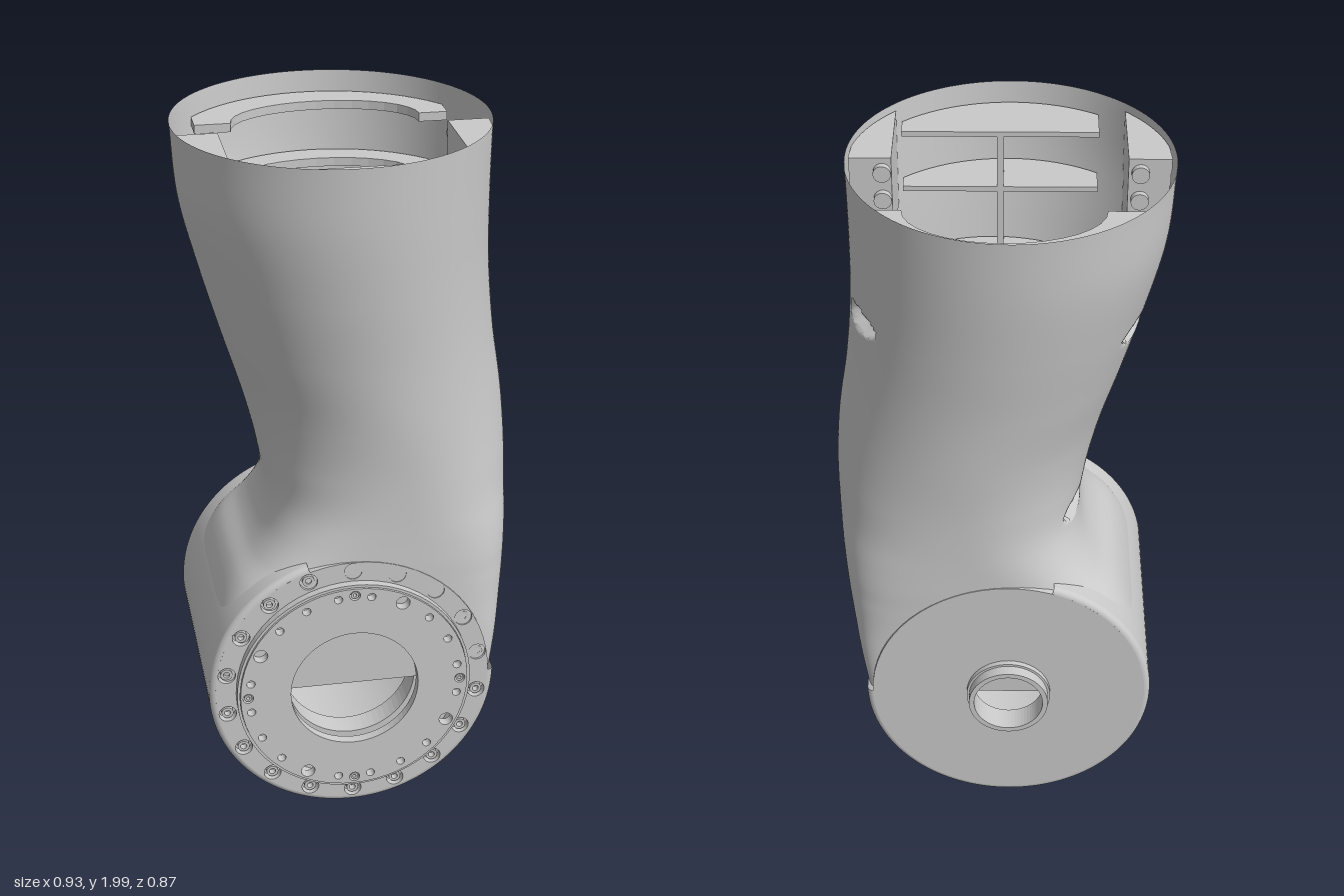
import * as THREE from 'three';

const CX = -0.03, CY = 0.42, R = 0.415; // axis and radius of the joint drum

export function createModel() {
  const model = new THREE.Group();
  const grey = new THREE.MeshStandardMaterial({ color: 0xcacaca, side: THREE.DoubleSide });
  grey.name = 'light grey';

  const add = (name, geo, parent = model) => {
    const mesh = new THREE.Mesh(geo, grey);
    mesh.name = name;
    parent.add(mesh);
  };

  // Section rules by height: y, left x, right x, half depth, squareness
  const rows = [
    [0.42, -0.43, 0.385, 0.348, 16], [0.6, -0.4, 0.42, 0.348, 7.5], [0.72, -0.345, 0.44, 0.348, 5],
    [0.78, -0.29, 0.448, 0.348, 4.2], [0.85, -0.25, 0.456, 0.347, 3.4], [0.93, -0.235, 0.462, 0.347, 2.7],
    [1.05, -0.25, 0.465, 0.35, 2.25], [1.2, -0.285, 0.455, 0.36, 2], [1.4, -0.345, 0.425, 0.376, 2],
    [1.6, -0.402, 0.407, 0.4, 2], [1.8, -0.45, 0.403, 0.422, 2], [2, -0.465, 0.405, 0.435, 2],
  ];
  const section = new THREE.CubicInterpolant(rows.map(r => r[0]), rows.flatMap(r => r.slice(1)), 4);

  // Lens-shaped screw pockets pressed into both sides: side, y, z
  const pockets = [[1, 1.6, -0.16], [1, 0.685, -0.14], [-1, 1.57, -0.13], [-1, 0.97, -0.14]];

  // Curved arm shell, open at the top
  const NU = 192, NV = 180, pos = [], index = [];
  for (let j = 0; j <= NV; j++) {
    const y = CY + (2 - CY) * j / NV;
    const [l, r, d, n] = section.evaluate(y);
    for (let i = 0; i < NU; i++) {
      const a = i / NU * Math.PI * 2, c = Math.cos(a), s = Math.sin(a);
      let x = (l + r) / 2 + (r - l) / 2 * Math.sign(c) * Math.abs(c) ** (2 / n);
      const z = d * Math.sign(s) * Math.abs(s) ** (2 / n);
      for (const [side, py, pz] of pockets) {
        const q = ((y - py) / 0.032) ** 2 + ((z - pz) / 0.08) ** 2;
        if (side * c > 0 && q < 1) x -= side * 0.04 * Math.sqrt(1 - q);
      }
      pos.push(x, y, z);
      if (j < NV) {
        const p = j * NU + i, q = j * NU + (i + 1) % NU;
        index.push(p, p + NU, q, q, p + NU, q + NU);
      }
    }
  }
  const shell = new THREE.BufferGeometry();
  shell.setAttribute('position', new THREE.Float32BufferAttribute(pos, 3));
  shell.setIndex(index);
  shell.computeVertexNormals();
  add('armShell', shell);

  // Joint drum: all its parts are centred on the drum axis
  const drum = new THREE.Group();
  drum.name = 'jointDrum';
  drum.position.set(CX, CY, 0);
  model.add(drum);

  // Drum wall with rounded rims, left open where it meets the arm
  const profile = [];
  for (const s of [-1, 1]) for (let i = 0; i <= 6; i++) {
    const a = (s < 0 ? 1 - i / 6 : i / 6) * Math.PI / 2;
    profile.push(new THREE.Vector2(R - 0.018 + 0.018 * Math.cos(a), s * (0.332 + 0.018 * Math.sin(a))));
  }
  const deg = Math.PI / 180;
  add('drumWall', new THREE.LatheGeometry(profile, 96, -162 * deg, 252 * deg).rotateX(Math.PI / 2), drum);

  const circle = (r, x = 0, y = 0) => new THREE.Path().absarc(x, y, r, 0, Math.PI * 2, true);
  const disc = (outer, inner, z0, z1, holes = []) => {
    const shape = new THREE.Shape().absarc(0, 0, outer, 0, Math.PI * 2, false);
    shape.holes.push(circle(inner), ...holes.map(h => circle(h.r, h.x, h.y)));
    return new THREE.ExtrudeGeometry(shape, { depth: z1 - z0, bevelEnabled: false, curveSegments: 32 })
      .translate(0, 0, z0);
  };
  const ringOf = (count, rad, r, start = 0) => Array.from({ length: count }, (_, i) => {
    const a = start + i / count * Math.PI * 2;
    return { r, x: rad * Math.sin(a), y: rad * Math.cos(a) };
  });

  // Front face with recessed bolts around the rim
  const bolts = ringOf(18, 0.37, 0.025);
  add('frontFace', disc(0.398, 0.325, 0.325, 0.35, bolts), drum);
  add('frontBacking', disc(0.396, 0.185, 0.25, 0.324), drum);
  for (const b of bolts) add('rimBolt', disc(0.017, 0.009, 0.324, 0.345).translate(b.x, b.y, 0), drum);

  // Raised bearing ring with its small holes, every fifth one wider
  const small = ringOf(20, 0.303, 0.012, 9 * deg).map((h, i) => (i % 5 === 1 ? { ...h, r: 0.02 } : h));
  const pins = ringOf(4, 0.308, 0.015);
  add('bearingRing', disc(0.33, 0.185, 0.35, 0.38, [...small, ...pins]), drum);
  add('bearingLip', disc(0.339, 0.331, 0.345, 0.374), drum);
  for (const p of pins) add('ringPin', disc(0.011, 0.005, 0.35, 0.377).translate(p.x, p.y, 0), drum);

  // Back face, with a bored hub
  add('backFace', disc(0.398, 0.1, -0.35, -0.325), drum);
  add('hubRim', disc(0.115, 0.1, -0.4, -0.35), drum);
  add('hubCollar', disc(0.122, 0.1, -0.366, -0.35), drum);

  // Horizontal plates inside the arm, drawn in plan as [x, z]
  const plate = (name, pts, y, t) => {
    const shape = new THREE.Shape(pts.map(([x, z]) => new THREE.Vector2(x, -z)));
    add(name, new THREE.ExtrudeGeometry(shape, { depth: t, bevelEnabled: false })
      .rotateX(-Math.PI / 2).translate(0, y - t, 0));
  };
  const wallArc = (y, x0, x1, sign) => {
    const [l, r, d] = section.evaluate(y);
    const c = (l + r) / 2, h = (r - l) / 2;
    return Array.from({ length: 25 }, (_, i) => {
      const x = x0 + (x1 - x0) * i / 24;
      return [x, sign * 0.985 * d * Math.sqrt(Math.max(0, 1 - ((x - c) / h) ** 2))];
    });
  };

  for (const y of [1.94, 1.77, 1.53]) {
    const inset = (2 - y) * 0.15;
    // Rear shelf: the upper ones have an arched inner edge
    const back = wallArc(y - 0.03, -0.39 + inset, 0.33, -1);
    back.push([0.33, -0.17], [0.25, -0.17]);
    if (y > 1.7) for (let i = 1; i < 16; i++) {
      const a = i / 16 * Math.PI;
      back.push([-0.015 + 0.265 * Math.cos(a), -0.17 - 0.16 * Math.sin(a)]);
    }
    back.push([-0.28, -0.17], [-0.39 + inset, -0.17]);
    plate('rearShelf', back, y, 0.025);
    // Front shelf with a straight inner edge
    const front = wallArc(y - 0.02, -0.27, 0.27, 1);
    front.push([0.27, 0.25], [-0.27, 0.25]);
    plate('frontShelf', front, y, 0.015);
  }

  // Upright rib tying the front shelves together
  add('frontRib', new THREE.BoxGeometry(0.018, 0.42, 0.13).translate(0, 1.73, 0.315));

  // Joining blocks on both sides, in slices that follow the wall, each with three screws
  for (const [inner, side, screwX] of [[0.285, 1, 0.31], [-0.34, 0, -0.372]]) {
    for (let i = 0; i < 7; i++) {
      const top = 1.98 - i * 0.04;
      const outer = section.evaluate(top - 0.04)[side] * 0.985;
      const pts = wallArc(top - 0.04, inner, outer, 1);
      pts[24][1] = 0.04; // keep the outer corner just ahead of the flange face
      pts.push([outer, 0.03], [inner, 0.03]);
      plate('joiningBlock', pts, top, 0.04);
    }
    for (const y of [1.94, 1.86, 1.77]) {
      add('blockScrew', new THREE.CylinderGeometry(0.024, 0.024, 0.02, 24)
        .rotateX(Math.PI / 2).translate(screwX, y, 0.022));
    }
  }
  return model;
}
